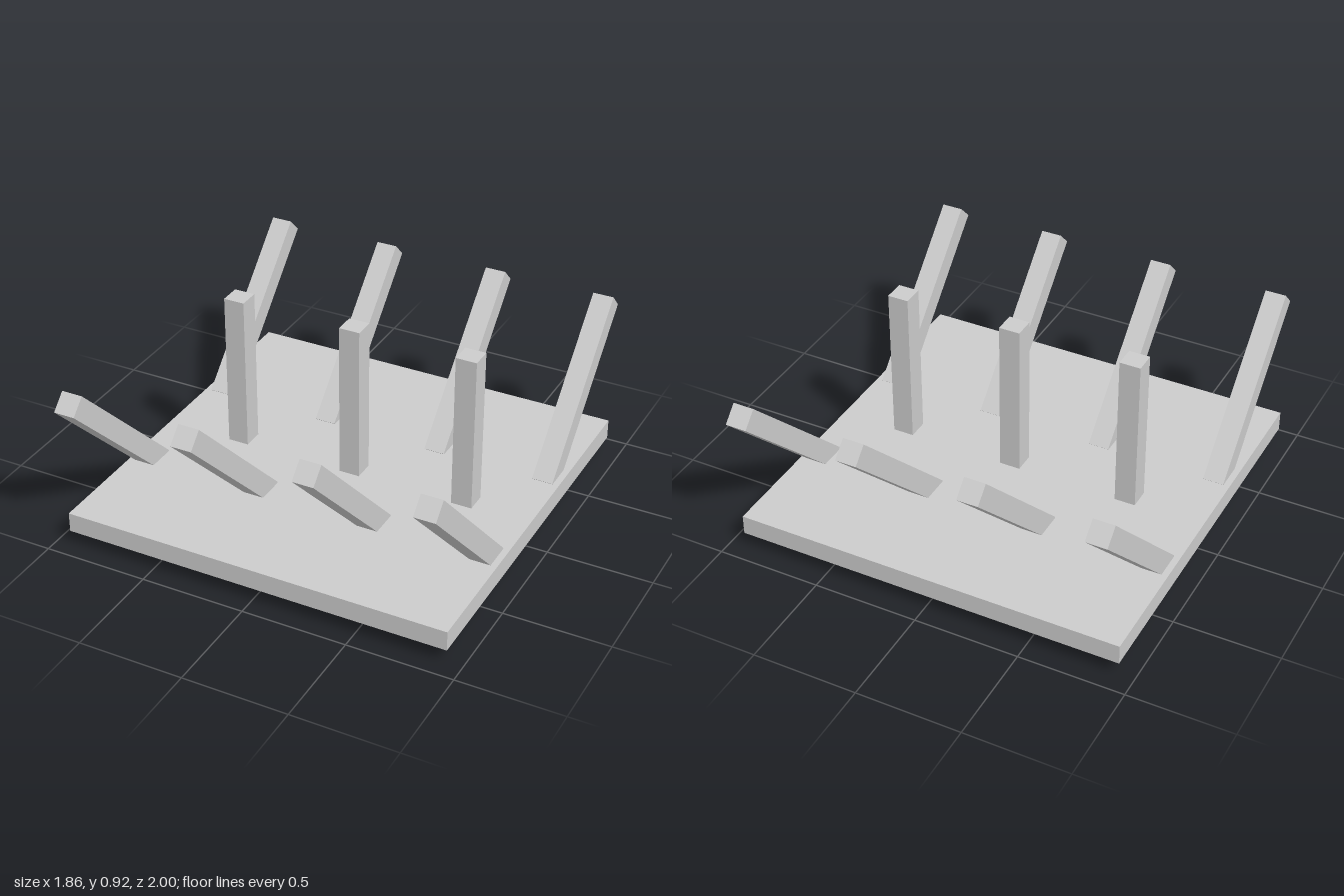
import * as THREE from 'three';

export function createModel() {
  const group = new THREE.Group();
  const material = new THREE.MeshStandardMaterial({ color: 0xcccccc, flatShading: true });
  const thickness = 0.1;
  const length = 0.92;

  function addBox(name, size, position, tilt = 0) {
    const mesh = new THREE.Mesh(new THREE.BoxGeometry(...size), material);
    mesh.name = name;
    mesh.position.set(...position);
    mesh.rotation.x = tilt;
    group.add(mesh);
  }

  // Flat base board
  addBox('basePlate', [1.86, 0.095, 1.83], [0, 0.1175, 0.005]);

  // Upright posts passing through the board
  [-0.55, 0.035, 0.6].forEach((x, i) => {
    addBox(`uprightPost${i + 1}`, [thickness, length, thickness], [x, length / 2, 0.013]);
  });

  // Two mirrored rows of pegs leaning outward at 45 degrees
  for (const side of [1, -1]) {
    [-0.85, -0.27, 0.305, 0.85].forEach((x, i) => {
      addBox(`${side > 0 ? 'front' : 'back'}LeaningPeg${i + 1}`,
        [thickness, length, thickness], [x, 0.459, side * 0.639], side * Math.PI / 4);
    });
  }

  return group;
}
